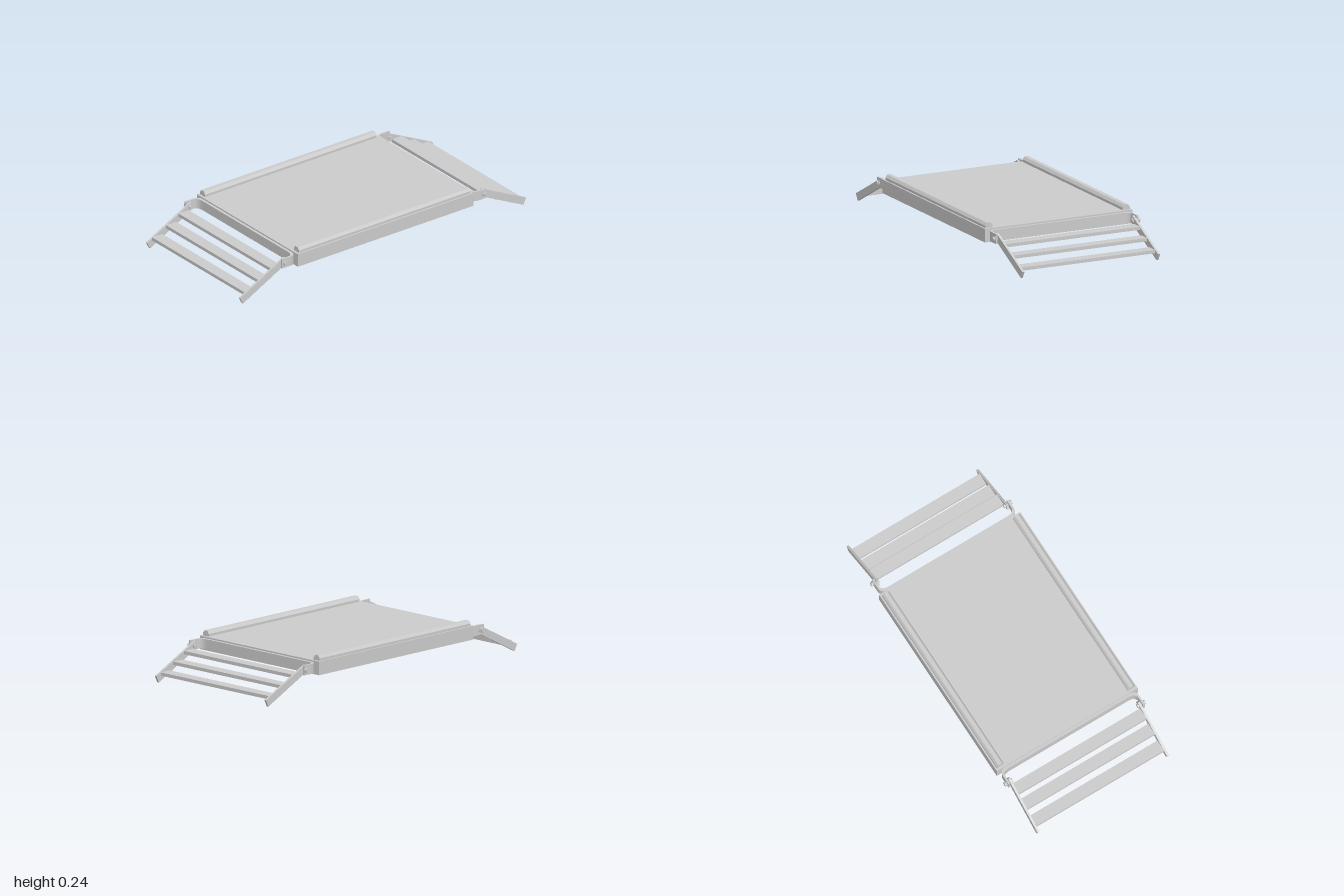
import * as THREE from 'three';

const grey = new THREE.MeshStandardMaterial({ color: 0xcccccc, flatShading: true });

function part(name, geometry, x = 0, y = 0, z = 0) {
  const mesh = new THREE.Mesh(geometry, grey);
  mesh.name = name;
  mesh.position.set(x, y, z);
  return mesh;
}

// Guide rail with bevelled upper edges, running along x
function guideRail(z) {
  const s = new THREE.Shape([
    [-0.023, 0.2], [0.023, 0.2], [0.023, 0.222], [0.012, 0.238], [-0.012, 0.238], [-0.023, 0.222],
  ].map(([a, b]) => new THREE.Vector2(a, b)));
  const g = new THREE.ExtrudeGeometry(s, { depth: 1.2, bevelEnabled: false });
  g.rotateY(Math.PI / 2);
  return part('guideRail', g, -0.605, 0, z);
}

// U-shaped strap: flat against the deck end, ears bent outwards
function strapGeometry() {
  const inner = 0.612, face = 0.628, ear = 0.71, zo = 0.447, zi = 0.436, r = 0.045;
  const s = new THREE.Shape();
  s.moveTo(ear, zo);
  s.lineTo(inner + r, zo);
  s.quadraticCurveTo(inner, zo, inner, zo - r);
  s.lineTo(inner, -zo + r);
  s.quadraticCurveTo(inner, -zo, inner + r, -zo);
  s.lineTo(ear, -zo);
  s.lineTo(ear, -zi);
  s.lineTo(face + r - 0.01, -zi);
  s.quadraticCurveTo(face, -zi, face, -zi + r);
  s.lineTo(face, zi - r);
  s.quadraticCurveTo(face, zi, face + r - 0.01, zi);
  s.lineTo(ear, zi);
  s.closePath();
  const g = new THREE.ExtrudeGeometry(s, { depth: 0.057, bevelEnabled: false, curveSegments: 8 });
  g.rotateX(Math.PI / 2);
  return g;
}

// Hinged ramp on the +x end: strap, bolts, two arms and three level slats
function ramp(name, degrees, strapShift) {
  const group = new THREE.Group();
  group.name = name;
  group.add(part('strap', strapGeometry(), strapShift, 0.2, 0));

  const pivotX = 0.698, pivotY = 0.17, width = 0.043, angle = THREE.MathUtils.degToRad(degrees);
  const start = -0.02;
  const end = (1 - pivotX - width / 2 * Math.sin(angle)) / Math.cos(angle);

  for (const side of [-1, 1]) {
    const arm = new THREE.BoxGeometry(end - start, width, 0.013);
    arm.translate((start + end) / 2, 0, 0);
    arm.rotateZ(-angle);
    group.add(part('rampArm', arm, pivotX, pivotY, side * 0.425));

    const shank = new THREE.CylinderGeometry(0.008, 0.008, 0.05, 12);
    const head = new THREE.CylinderGeometry(0.013, 0.013, 0.01, 6);
    const washer = new THREE.CylinderGeometry(0.016, 0.016, 0.004, 16);
    for (const g of [shank, head, washer]) g.rotateX(Math.PI / 2);
    group.add(part('boltShank', shank, pivotX, pivotY, side * 0.435));
    group.add(part('boltHead', head, pivotX, pivotY, side * 0.457));
    group.add(part('boltWasher', washer, pivotX, pivotY, side * 0.449));
    group.add(part('boltNut', head, pivotX, pivotY, side * 0.414));
  }

  for (const [x, y] of [[0.747, 0.146], [0.834, 0.1], [0.931, 0.054]]) {
    group.add(part('slat', new THREE.BoxGeometry(0.07, 0.019, 0.838), x, y, 0));
  }
  return group;
}

export function createModel() {
  const model = new THREE.Group();
  model.name = 'rampPlatform';

  // Deck slab and its two side rails
  model.add(part('deck', new THREE.BoxGeometry(1.23, 0.078, 0.925), -0.005, 0.169, 0));
  for (const z of [-0.43, 0.43]) model.add(guideRail(z));

  // Ramps at both ends
  model.add(ramp('leftRamp', 26, 0));
  const right = ramp('rightRamp', 27.4, 0.008);
  right.rotation.y = Math.PI;
  model.add(right);
  return model;
}
